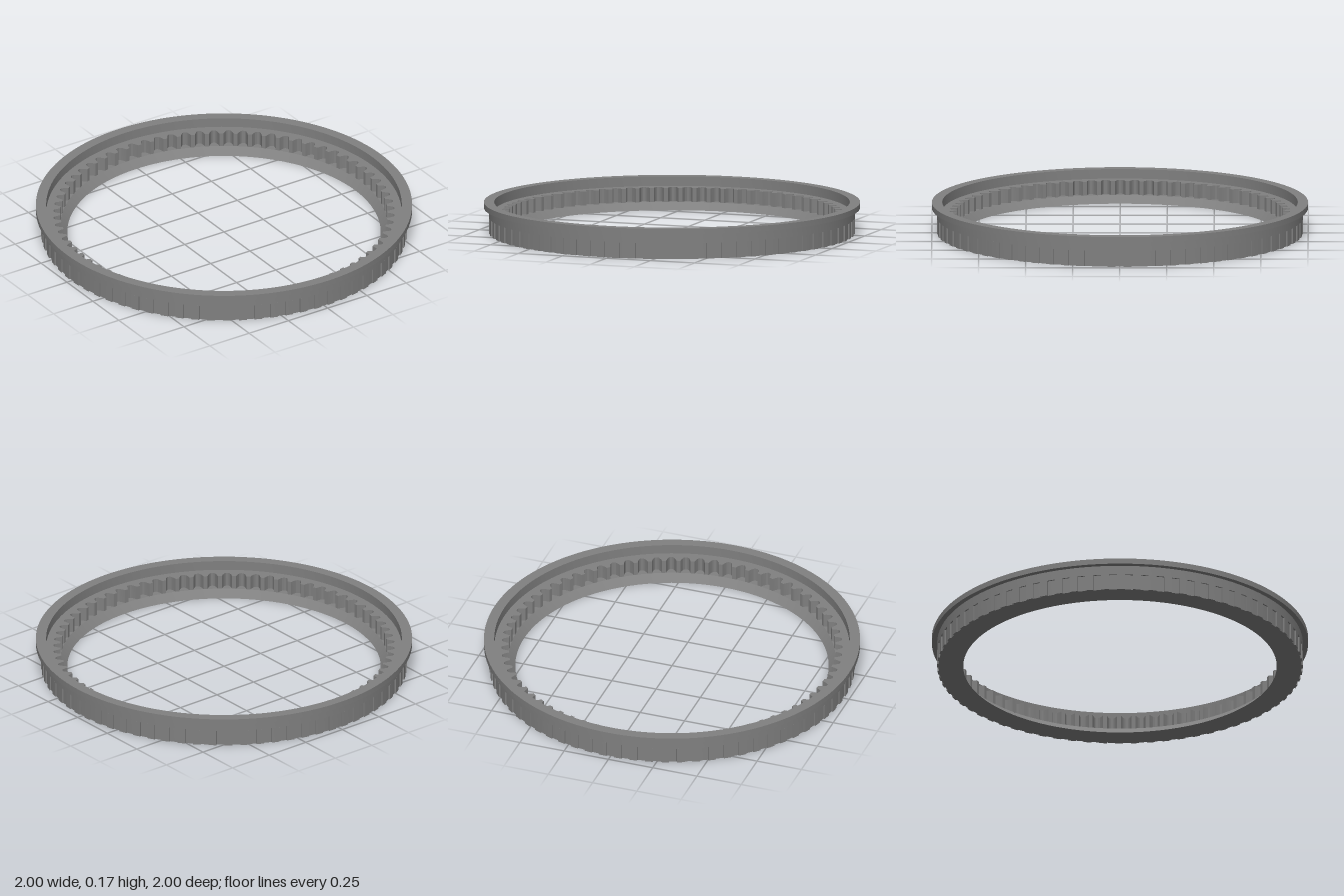
import * as THREE from 'three';
import { toCreasedNormals } from 'three/addons/utils/BufferGeometryUtils.js';

const COUNT = 72; // inner teeth and outer grooves
const PITCH = (Math.PI * 2) / COUNT;

// Repeats one [radius, pitch fraction] pattern around the circle
function ringPoints(pattern) {
  const points = [];
  for (let i = 0; i < COUNT; i++) {
    for (const [r, f] of pattern) {
      const a = (i + f) * PITCH;
      points.push(new THREE.Vector2(r * Math.cos(a), r * Math.sin(a)));
    }
  }
  return points;
}

// Flat ring between two outlines, standing on height y
function extrudeRing(outer, inner, y, height) {
  const shape = new THREE.Shape(outer);
  shape.holes.push(new THREE.Path(inner));
  const g = new THREE.ExtrudeGeometry(shape, { depth: height, bevelEnabled: false });
  g.rotateX(-Math.PI / 2);
  g.translate(0, y, 0);
  return toCreasedNormals(g, 0.35);
}

export function createModel() {
  const group = new THREE.Group();
  const grey = new THREE.MeshStandardMaterial({ color: 0x808080 });
  grey.name = 'grey';

  const add = (name, geometry) => {
    const mesh = new THREE.Mesh(geometry, grey);
    mesh.name = name;
    group.add(mesh);
  };

  // Body: flange, stepped recess and chamfered inner lip
  const profile = [
    [0.833, 0], [0.93, 0], [0.93, 0.085], [0.972, 0.085], [0.972, 0.136],
    [1, 0.136], [1, 0.166], [0.945, 0.166], [0.945, 0.115], [0.912, 0.115],
    [0.912, 0.04], [0.87, 0.04], [0.833, 0],
  ].map(([r, y]) => new THREE.Vector2(r, y));
  add('ringBody', toCreasedNormals(new THREE.LatheGeometry(profile, COUNT * 2), 0.5));

  // Lower outer wall with shallow vertical grip grooves
  const grooves = ringPoints([
    [0.964, -0.25], [0.964, 0], [0.964, 0.25],
    [0.972, 0.25], [0.972, 0.5], [0.972, 0.75],
  ]);
  const wallBack = ringPoints([[0.93, 0], [0.93, 0.5]]);
  add('groovedOuterWall', extrudeRing(grooves, wallBack, 0, 0.085));

  // Internal gear: rounded gaps narrowing outward between the teeth
  const gaps = ringPoints([
    [0.87, -0.36], [0.885, -0.29], [0.9, -0.19], [0.907, -0.09],
    [0.907, 0.09], [0.9, 0.19], [0.885, 0.29], [0.87, 0.36],
  ]);
  const gearBack = ringPoints([[0.912, 0], [0.912, 0.5]]);
  add('innerGearTeeth', extrudeRing(gearBack, gaps, 0.04, 0.075));

  return group;
}
